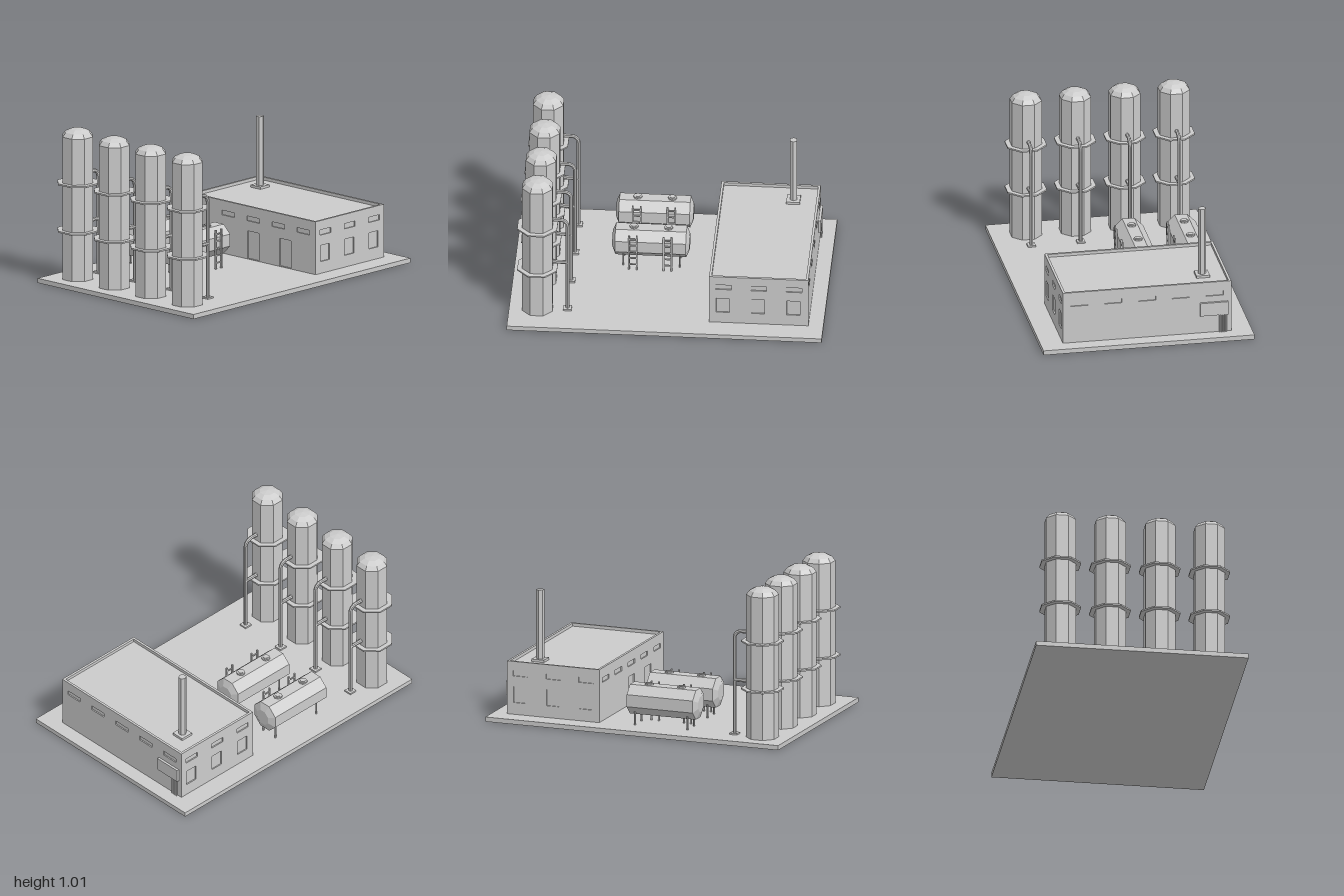
import * as THREE from 'three';

const mat = new THREE.MeshStandardMaterial({ color: 0xcccccc, flatShading: true });
const GROUND = 0.03;

function add(parent, name, geo, x = 0, y = 0, z = 0) {
  const m = new THREE.Mesh(geo, mat);
  m.name = name;
  m.position.set(x, y, z);
  parent.add(m);
  return m;
}

function group(parent, name, x = 0, y = 0, z = 0) {
  const g = new THREE.Group();
  g.name = name;
  g.position.set(x, y, z);
  parent.add(g);
  return g;
}

const box = (w, h, d) => new THREE.BoxGeometry(w, h, d);

// Straight round bar between two points
function rod(parent, name, a, b, r, sides = 8) {
  const p = new THREE.Vector3(...a), q = new THREE.Vector3(...b);
  const dir = q.clone().sub(p);
  const m = add(parent, name, new THREE.CylinderGeometry(r, r, dir.length(), sides));
  m.position.copy(p).add(q).multiplyScalar(0.5);
  m.quaternion.setFromUnitVectors(new THREE.Vector3(0, 1, 0), dir.normalize());
  return m;
}

// Eight-sided turned solid with flat faces square to the axes; radii are across flats
function octagonal(points) {
  const k = 1 / Math.cos(Math.PI / 8);
  const geo = new THREE.LatheGeometry(points.map(([r, y]) => new THREE.Vector2(r * k, y)), 8);
  return geo.rotateY(Math.PI / 8);
}

function addTower(root, z) {
  const t = group(root, 'tower', -0.82, 0, z);
  add(t, 'towerShell', octagonal([
    [0, GROUND], [0.096, GROUND], [0.096, 0.96], [0.077, 0.987], [0.045, 1.004], [0, 1.01],
  ]));
  for (const y of [0.345, 0.655]) {
    add(t, 'towerRing', octagonal([
      [0.094, y - 0.005], [0.126, y - 0.005], [0.126, y + 0.005], [0.094, y + 0.005],
    ]));
  }
  // Downpipe with elbow and lower branch
  const r = 0.0125, px = 0.19, bend = 0.045, top = 0.705;
  rod(t, 'upperPipe', [0.08, top, 0], [px - bend, top, 0], r);
  add(t, 'pipeElbow', new THREE.TorusGeometry(bend, r, 8, 5, Math.PI / 2), px - bend, top - bend, 0);
  rod(t, 'downPipe', [px, GROUND, 0], [px, top - bend, 0], r);
  rod(t, 'lowerPipe', [0.08, 0.385, 0], [px, 0.385, 0], r);
  add(t, 'pipeFoot', box(0.052, 0.01, 0.052), px, GROUND + 0.005, 0);
}

function addTank(root, z) {
  const t = group(root, 'storageTank', -0.14, 0, z);
  const L = 0.245, R = 0.095, cy = 0.193;
  const shell = octagonal([
    [0, -L], [0.05, -L], [R, -L + 0.02], [R, L - 0.02], [0.05, L], [0, L],
  ]).rotateZ(-Math.PI / 2);
  add(t, 'tankShell', shell, 0, cy, 0);
  for (const x of [-0.11, 0.11]) {
    // Filler hatch
    add(t, 'hatch', new THREE.CylinderGeometry(0.028, 0.028, 0.012, 8), x, cy + R + 0.004, 0);
    add(t, 'hatchLid', new THREE.CylinderGeometry(0.017, 0.017, 0.012, 8), x, cy + R + 0.007, 0);
    // Ladder
    const lz = R + 0.008;
    for (const s of [-1, 1]) {
      add(t, 'ladderRail', box(0.01, 0.255, 0.01), x + s * 0.025, GROUND + 0.1275, lz);
    }
    for (let i = 0; i < 5; i++) {
      add(t, 'ladderRung', box(0.05, 0.008, 0.008), x, 0.07 + i * 0.047, lz);
    }
  }
  for (const x of [-0.175, 0.185]) {
    for (const s of [-1, 1]) {
      rod(t, 'tankLeg', [x, GROUND, s * 0.055], [x, 0.14, s * 0.055], 0.006, 6);
    }
  }
}

// Wall panel with rectangular openings [centre, bottom, width, height]
function wallGeometry(width, bottom, top, thick, openings) {
  const rect = (target, x0, y0, x1, y1) => {
    target.moveTo(x0, y0);
    target.lineTo(x1, y0);
    target.lineTo(x1, y1);
    target.lineTo(x0, y1);
    target.closePath();
    return target;
  };
  const s = rect(new THREE.Shape(), -width / 2, bottom, width / 2, top);
  for (const [c, b, w, h] of openings) {
    s.holes.push(rect(new THREE.Path(), c - w / 2, b, c + w / 2, b + h));
  }
  return new THREE.ExtrudeGeometry(s, { depth: thick, bevelEnabled: false });
}

function addBuilding(root) {
  const b = group(root, 'building', 0.59, 0, -0.005);
  const W = 0.63, D = 1.085, top = 0.375, roof = 0.355, T = 0.016, recess = 0.008;

  const shortOpenings = [];
  for (const x of [-0.224, 0, 0.224]) {
    shortOpenings.push([x, 0.28, 0.1, 0.034], [x - 0.004, 0.107, 0.084, 0.105]);
  }
  const longOpenings = [-0.436, -0.218, 0, 0.218, 0.436].map((x) => [x, 0.28, 0.112, 0.03]);
  const doors = [[0, 0.034, 0.1, 0.18], [0.28, 0.034, 0.1, 0.18]];

  // Core closes the recessed openings and forms the roof below the parapet
  add(b, 'coreAndRoof', box(W - 2 * recess, roof - GROUND, D - 2 * recess), 0, (roof + GROUND) / 2, 0);
  const walls = [
    ['frontWall', W, D, 0, shortOpenings],
    ['backWall', W, D, Math.PI, shortOpenings],
    ['leftWall', D - 2 * T, W, Math.PI / 2, longOpenings],
    ['rightWall', D - 2 * T, W, -Math.PI / 2, [...longOpenings, ...doors]],
  ];
  for (const [name, width, span, turn, openings] of walls) {
    const geo = wallGeometry(width, GROUND, top, T, openings);
    add(b, name, geo.translate(0, 0, span / 2 - T).rotateY(turn));
  }

  // Chimney
  add(b, 'chimneyBase', box(0.086, 0.016, 0.086), 0.153, roof + 0.008, -0.384);
  rod(b, 'chimney', [0.153, roof, -0.384], [0.153, 0.82, -0.384], 0.026, 6);

  // Wall cabinet with conduits
  add(b, 'cabinet', box(0.016, 0.088, 0.18), W / 2 + 0.008, 0.194, -0.43);
  for (let i = 0; i < 4; i++) {
    const z = -0.466 - i * 0.0135;
    rod(b, 'conduit', [W / 2 + 0.007, GROUND, z], [W / 2 + 0.007, 0.155, z], 0.0055, 6);
  }
}

export function createModel() {
  const root = new THREE.Group();
  root.name = 'industrialPlant';
  add(root, 'groundSlab', box(2, GROUND, 1.36), 0, GROUND / 2, 0);
  for (let i = 0; i < 4; i++) addTower(root, 0.454 - i * 0.318);
  for (const z of [-0.46, -0.122]) addTank(root, z);
  addBuilding(root);
  return root;
}
